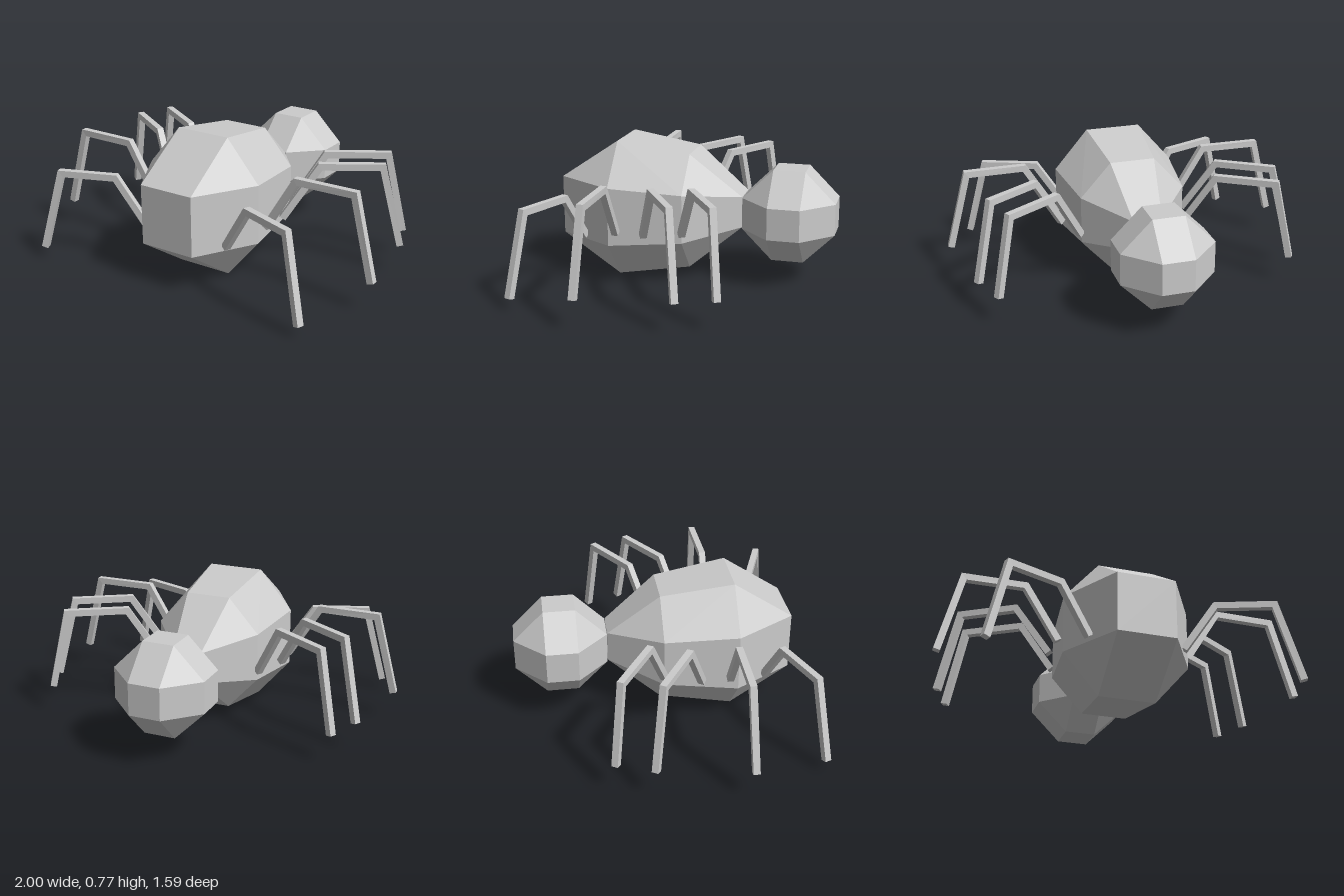
import * as THREE from 'three';
import { ConvexGeometry } from 'three/addons/geometries/ConvexGeometry.js';

const material = new THREE.MeshStandardMaterial({ color: 0xcccccc, flatShading: true });

function addMesh(parent, name, geometry) {
  const mesh = new THREE.Mesh(geometry, material);
  mesh.name = name;
  parent.add(mesh);
}

// Corners of a cross-section at depth z: a rectangle, or an octagon when outer sizes are given
function section(z, cy, flatX, flatY, outX, outY) {
  const points = [];
  for (const sx of [-1, 1]) for (const sy of [-1, 1]) {
    if (outX === undefined) {
      points.push(new THREE.Vector3(sx * flatX, cy + sy * flatY, z));
    } else {
      points.push(new THREE.Vector3(sx * outX, cy + sy * flatY, z));
      points.push(new THREE.Vector3(sx * flatX, cy + sy * outY, z));
    }
  }
  return points;
}

// Square bar swept along a bent path, mitred at the joints
function legGeometry(path, half) {
  const up = new THREE.Vector3(0, 1, 0);
  const span = path[path.length - 1].clone().sub(path[0]).setY(0).normalize();
  const side = span.cross(up).normalize();
  const rings = path.map((p, i) => {
    const before = i > 0 ? p.clone().sub(path[i - 1]).normalize() : null;
    const after = i < path.length - 1 ? path[i + 1].clone().sub(p).normalize() : null;
    const a = before || after, b = after || before;
    const tangent = a.clone().add(b).normalize();
    const normal = side.clone().cross(tangent).normalize();
    const mitre = half / tangent.dot(a);
    return [[-1, -1], [1, -1], [1, 1], [-1, 1]].map(([s, n]) =>
      p.clone().addScaledVector(side, s * half).addScaledVector(normal, n * mitre));
  });
  const tris = [];
  const quad = (a, b, c, d) => tris.push(a, b, c, a, c, d);
  for (let i = 0; i < rings.length - 1; i++) {
    for (let k = 0; k < 4; k++) {
      const n = (k + 1) % 4;
      quad(rings[i][k], rings[i + 1][k], rings[i + 1][n], rings[i][n]);
    }
  }
  const first = rings[0], last = rings[rings.length - 1];
  quad(first[0], first[1], first[2], first[3]);
  quad(last[3], last[2], last[1], last[0]);
  const geometry = new THREE.BufferGeometry().setFromPoints(tris);
  geometry.computeVertexNormals();
  return geometry;
}

export function createModel() {
  const model = new THREE.Group();
  model.name = 'spider';

  // Faceted abdomen, tapering to the neck
  addMesh(model, 'abdomen', new ConvexGeometry([
    ...section(0.72, 0.385, 0.157, 0.163),
    ...section(0.395, 0.385, 0.155, 0.161, 0.345, 0.383),
    ...section(-0.005, 0.387, 0.125, 0.133, 0.295, 0.322),
    ...section(-0.29, 0.39, 0.08, 0.086),
  ]));

  // Ball-like faceted head
  const flat = 0.087, out = 0.254;
  addMesh(model, 'head', new ConvexGeometry([
    ...section(-0.292, 0.386, flat, flat),
    ...section(-0.459, 0.386, flat, flat, out, out),
    ...section(-0.633, 0.386, flat, flat, out, out),
    ...section(-0.8, 0.386, flat, flat),
  ]));

  // Legs: hip, knee, ankle, foot on the left side, mirrored to the right
  const legs = [
    ['frontLeg', [0.255, 0.245, 0.56], [0.42, 0.498, 0.61], [0.71, 0.498, 0.718], [0.815, 0.06, 0.77]],
    ['middleFrontLeg', [0.36, 0.305, 0.345], [0.54, 0.597, 0.345], [0.868, 0.597, 0.34], [0.982, 0.158, 0.354]],
    ['middleBackLeg', [0.365, 0.305, 0.19], [0.53, 0.597, 0.09], [0.805, 0.597, -0.083], [0.9, 0.158, -0.135]],
    ['backLeg', [0.3, 0.305, -0.005], [0.455, 0.592, -0.105], [0.74, 0.592, -0.283], [0.825, 0.158, -0.328]],
  ];
  for (const [name, ...points] of legs) {
    for (const s of [1, -1]) {
      const path = points.map(([x, y, z]) => new THREE.Vector3(s * x, y, z));
      addMesh(model, name + (s > 0 ? 'Left' : 'Right'), legGeometry(path, 0.018));
    }
  }
  return model;
}
